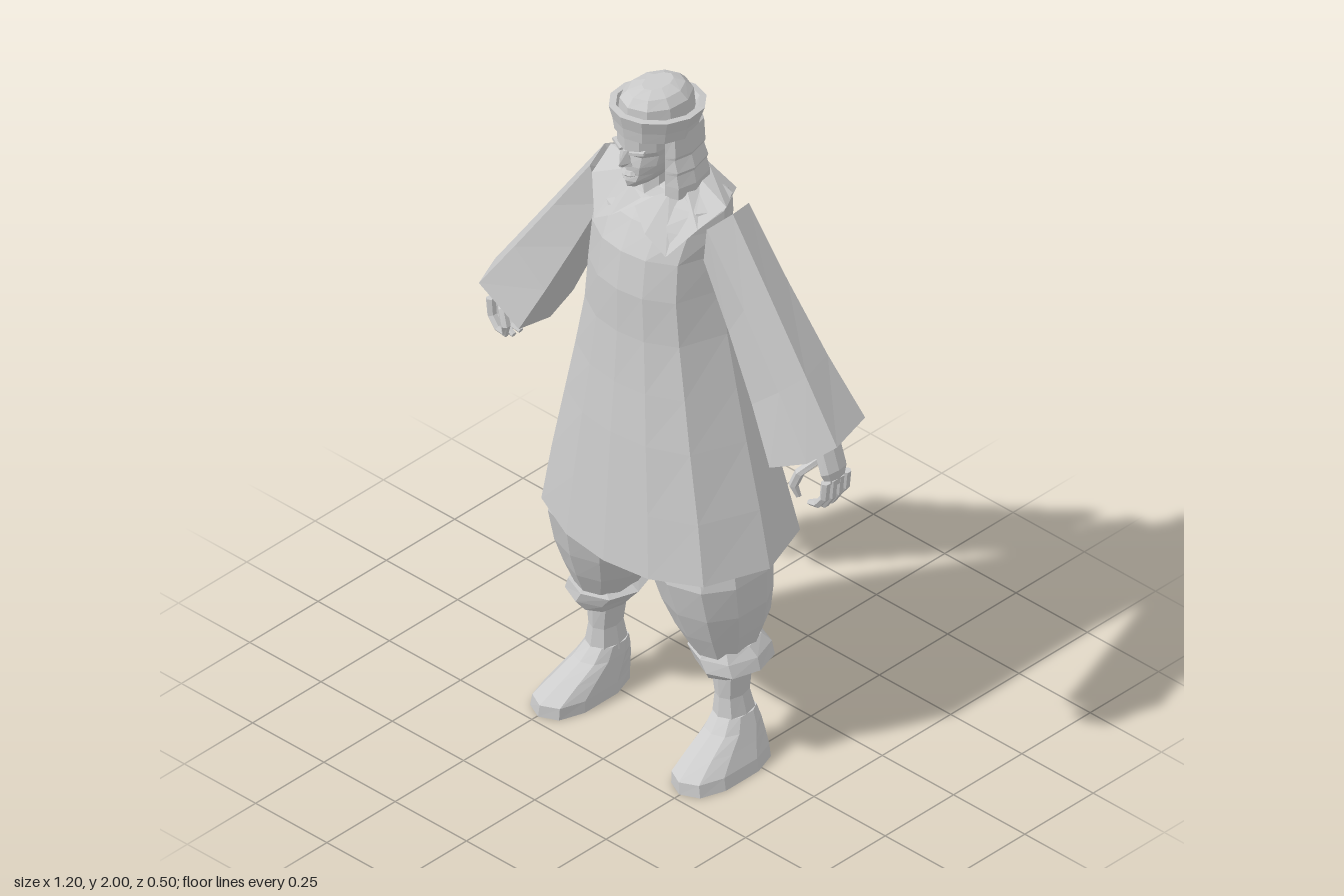
import * as THREE from 'three';

const cloth = new THREE.MeshStandardMaterial({ color: 0xcccccc, flatShading: true, side: THREE.DoubleSide });
cloth.name = 'pale grey';

// Skin a stack of rings; rings run bottom to top, points run front -> left -> back
function loft(name, rings, { bottom = false, top = false, closed = true } = {}) {
  const pos = [], n = rings[0].length;
  const tri = (a, b, c) => pos.push(...a, ...b, ...c);
  for (let i = 0; i < rings.length - 1; i++) {
    for (let j = 0; j < (closed ? n : n - 1); j++) {
      const k = (j + 1) % n, lo = rings[i], hi = rings[i + 1];
      tri(lo[j], lo[k], hi[k]);
      tri(lo[j], hi[k], hi[j]);
    }
  }
  const cap = (ring, up) => {
    const c = [0, 1, 2].map(a => ring.reduce((s, p) => s + p[a], 0) / n);
    ring.forEach((p, j) => (up ? tri(c, p, ring[(j + 1) % n]) : tri(c, ring[(j + 1) % n], p)));
  };
  if (bottom) cap(rings[0], false);
  if (top) cap(rings.at(-1), true);
  const g = new THREE.BufferGeometry();
  g.setAttribute('position', new THREE.Float32BufferAttribute(pos, 3));
  g.computeVertexNormals();
  const mesh = new THREE.Mesh(g, cloth);
  mesh.name = name;
  return mesh;
}

const flip = ring => ring.map(([x, y, z]) => [-x, y, z]).reverse();

// Same part on both sides
const pair = (name, rings, opt) => [
  loft('left' + name, rings, opt),
  loft('right' + name, rings.map(flip), opt),
];

// Rounded ring from its extents; power < 1 makes it boxier, tilt raises the front
function oval(y, x0, x1, zb, zf, n = 8, power = 1, tilt = 0) {
  const soft = v => Math.sign(v) * Math.abs(v) ** power;
  return Array.from({ length: n }, (_, i) => {
    const a = (i / n) * Math.PI * 2;
    const z = (zf + zb) / 2 + ((zf - zb) / 2) * soft(Math.cos(a));
    return [(x0 + x1) / 2 + ((x1 - x0) / 2) * soft(Math.sin(a)), y + tilt * (z - 0.05), z];
  });
}

// Full ring from its left half, listed front to back on the centre line
const mirrorHalf = half => [...half, ...half.slice(1, -1).reverse().map(([x, y, z]) => [-x, y, z])];

// Finger-like loft along a path running from tip to root
function limb(path, rx, rz, n = 6) {
  return path.map((p, i) => {
    const a = path[Math.max(i - 1, 0)], b = path[Math.min(i + 1, path.length - 1)];
    const len = Math.hypot(b[0] - a[0], b[1] - a[1]);
    const nx = (b[1] - a[1]) / len, ny = -(b[0] - a[0]) / len;
    const s = i === 0 ? 0.6 : 1;
    return Array.from({ length: n }, (_, j) => {
      const t = (j / n) * Math.PI * 2, r = rx * s * Math.sin(t);
      return [p[0] + nx * r, p[1] + ny * r, p[2] + rz * s * Math.cos(t)];
    });
  });
}

export function createModel() {
  const model = new THREE.Group();
  model.name = 'robedFigure';

  // Long flared tunic: y, half width, front, back, lift of the hem at the sides
  const tunic = [
    [0.615, 0.36, 0.25, -0.255, 0.03], [0.8, 0.325, 0.237, -0.215, 0.01], [1.0, 0.278, 0.223, -0.17, 0],
    [1.15, 0.243, 0.21, -0.135, 0], [1.3, 0.21, 0.2, -0.105, 0], [1.43, 0.195, 0.2, -0.09, 0],
    [1.54, 0.19, 0.185, -0.09, 0], [1.62, 0.2, 0.145, -0.095, 0], [1.675, 0.2, 0.1, -0.09, 0],
    [1.705, 0.12, 0.085, -0.075, 0], [1.715, 0.06, 0.075, -0.05, 0],
  ].map(([y, w, f, b, lift]) => {
    const c = 0.015;
    return mirrorHalf([[0, 1], [0.4, 0.94], [0.79, 0.7], [1, 0], [0.79, -0.7], [0.39, -1], [0, -1]]
      .map(([u, v]) => [u * w, y + lift * u * u, c + (v > 0 ? v * (f - c) : v * (c - b))]));
  });
  model.add(loft('tunic', tunic, { top: true }));

  // Pointed collar lying on the shoulders
  model.add(loft('collar', [
    mirrorHalf([[0, 1.655, 0.135], [0.06, 1.61, 0.16], [0.125, 1.565, 0.152], [0.185, 1.65, 0.098],
      [0.203, 1.685, 0.01], [0.13, 1.655, -0.103], [0, 1.655, -0.103]]),
    mirrorHalf([[0, 1.668, 0.112], [0.04, 1.69, 0.105], [0.075, 1.71, 0.085], [0.1, 1.718, 0.05],
      [0.1, 1.72, 0], [0.06, 1.72, -0.07], [0, 1.72, -0.08]]),
  ]));

  // Wide sleeves, open at the cuff
  const cuff = [[0.44, 1.04, 0.1], [0.575, 1.12, 0.105], [0.6, 1.14, 0.02], [0.555, 1.135, -0.13],
    [0.48, 1.105, -0.17], [0.44, 1.06, -0.1], [0.425, 1.035, 0]];
  const shoulder = [[0.18, 1.54, 0.07], [0.205, 1.655, 0.085], [0.225, 1.675, 0.01], [0.2, 1.655, -0.075],
    [0.19, 1.6, -0.095], [0.18, 1.54, -0.07], [0.175, 1.52, 0]];
  const sleeve = [0, 0.3, 0.65, 1].map(t => cuff.map((p, i) => p.map((v, a) => {
    const m = v + (shoulder[i][a] - v) * t;
    return a === 2 ? m * (1 - 0.4 * t * (1 - t)) : m;
  })));
  model.add(...pair('Sleeve', sleeve, { top: true }));

  // Hands: palm, four curled fingers and a thumb
  const caps = { bottom: true, top: true };
  model.add(...pair('Palm', limb([[0.585, 1.02, 0.01], [0.58, 1.06, 0.012], [0.56, 1.11, 0.01],
    [0.52, 1.2, 0]], 0.021, 0.046, 8), caps));
  for (let i = 0; i < 4; i++) {
    const z = -0.027 + i * 0.025, drop = i === 0 || i === 3 ? 0.012 : 0;
    model.add(...pair('Finger' + (i + 1), limb([[0.53, 0.94 + drop, z], [0.56, 0.95 + drop, z],
      [0.583, 0.985 + drop / 2, z], [0.588, 1.04, z]], 0.012, 0.014), caps));
  }
  model.add(...pair('Thumb', limb([[0.515, 0.975, 0.072], [0.505, 1.01, 0.08], [0.522, 1.055, 0.074],
    [0.56, 1.1, 0.035]], 0.013, 0.014), caps));

  // Baggy trousers, gathered bands, ankles and shoes: y, x from, x to, back, front
  const legPart = (name, rows, n, power, opt) =>
    model.add(...pair(name, rows.map(r => oval(...r, n, power)), opt));
  legPart('Trouser', [[0.35, 0.13, 0.28, -0.075, 0.11], [0.42, 0.09, 0.3, -0.115, 0.145],
    [0.5, 0.06, 0.317, -0.12, 0.175], [0.6, 0.03, 0.325, -0.12, 0.2], [0.76, 0, 0.29, -0.1, 0.17]], 10, 0.9, { top: true });
  legPart('TrouserBand', [[0.275, 0.163, 0.27, -0.08, 0.09], [0.305, 0.14, 0.318, -0.1, 0.112],
    [0.34, 0.11, 0.308, -0.103, 0.114], [0.368, 0.145, 0.285, -0.075, 0.1]], 8, 0.9, caps);
  legPart('Ankle', [[0.13, 0.177, 0.272, -0.057, 0.065], [0.2, 0.185, 0.258, -0.04, 0.057],
    [0.29, 0.17, 0.268, -0.045, 0.062]], 8, 0.85, {});
  legPart('Shoe', [[0, 0.17, 0.325, -0.077, 0.23], [0.035, 0.17, 0.318, -0.077, 0.228],
    [0.075, 0.172, 0.3, -0.072, 0.16], [0.11, 0.174, 0.285, -0.065, 0.095],
    [0.145, 0.178, 0.27, -0.056, 0.062]], 10, 0.8, caps);

  // Neck and face
  model.add(loft('neck', [oval(1.65, -0.05, 0.05, -0.04, 0.1), oval(1.78, -0.045, 0.045, -0.03, 0.1)]));
  const head = [[1.73, 0.028, 0.162], [1.75, 0.044, 0.168], [1.768, 0.053, 0.163], [1.795, 0.061, 0.164],
    [1.825, 0.066, 0.158], [1.843, 0.069, 0.17], [1.89, 0.07, 0.172]]
    .map(([y, w, f]) => mirrorHalf([[0, y, f], [w * 0.55, y, f - 0.012], [w * 0.92, y, f - 0.05],
      [w, y, 0.07], [w * 0.7, y, 0], [0, y, -0.02]]));
  model.add(loft('head', head, caps));

  // Nose, brows and lips
  model.add(loft('nose', [
    mirrorHalf([[0, 1.796, 0.178], [0.017, 1.797, 0.16], [0, 1.796, 0.15]]),
    mirrorHalf([[0, 1.808, 0.194], [0.014, 1.808, 0.163], [0, 1.808, 0.15]]),
    mirrorHalf([[0, 1.845, 0.175], [0.007, 1.845, 0.167], [0, 1.845, 0.155]]),
  ], caps));
  for (const s of [1, -1]) {
    const brow = new THREE.Mesh(new THREE.BoxGeometry(0.042, 0.008, 0.014), cloth);
    brow.name = s > 0 ? 'leftBrow' : 'rightBrow';
    brow.position.set(s * 0.033, 1.846, 0.16);
    brow.rotation.set(0, s * 0.35, s * 0.2);
    model.add(brow);
  }
  model.add(loft('lips', [oval(1.764, -0.018, 0.018, 0.14, 0.168), oval(1.77, -0.024, 0.024, 0.14, 0.173),
    oval(1.78, -0.018, 0.018, 0.14, 0.168)], caps));

  // Folded neck cloth hanging from the cap, open at the face
  const veil = [[1.695, 0.115, -0.078], [1.73, 0.116, -0.078], [1.765, 0.108, -0.068], [1.775, 0.112, -0.072],
    [1.81, 0.1, -0.06], [1.82, 0.104, -0.065], [1.885, 0.1, -0.062]].map(([y, w, b]) => {
    const half = [[0.058, y, 0.07], [0.068, y, 0.095], [w * 0.9, y, 0.082], [w, y, 0.03],
      [w * 0.85, y, b * 0.5], [w * 0.45, y, b * 0.93], [0, y, b]];
    return [...half, ...half.slice(0, -1).reverse().map(([x, yy, z]) => [-x, yy, z])];
  });
  model.add(loft('neckCloth', veil, { closed: false }));

  // Cap: turned-up brim and domed crown
  const t = 0.13;
  model.add(loft('capBrim', [oval(1.868, -0.098, 0.098, -0.066, 0.174, 12, 1, t),
    oval(1.9, -0.104, 0.104, -0.072, 0.178, 12, 1, t), oval(1.938, -0.115, 0.115, -0.087, 0.188, 12, 1, t),
    oval(1.94, -0.098, 0.098, -0.068, 0.168, 12, 1, t), oval(1.915, -0.088, 0.088, -0.055, 0.16, 12, 1, t)]));
  model.add(loft('capCrown', [oval(1.9, -0.09, 0.09, -0.058, 0.164, 10, 1, t),
    oval(1.965, -0.082, 0.082, -0.052, 0.16, 10, 1, 0.05), oval(1.987, -0.062, 0.062, -0.03, 0.14, 10, 1, 0.05),
    oval(1.998, -0.03, 0.03, 0, 0.1, 10, 1, 0.03)], { top: true }));

  return model;
}
